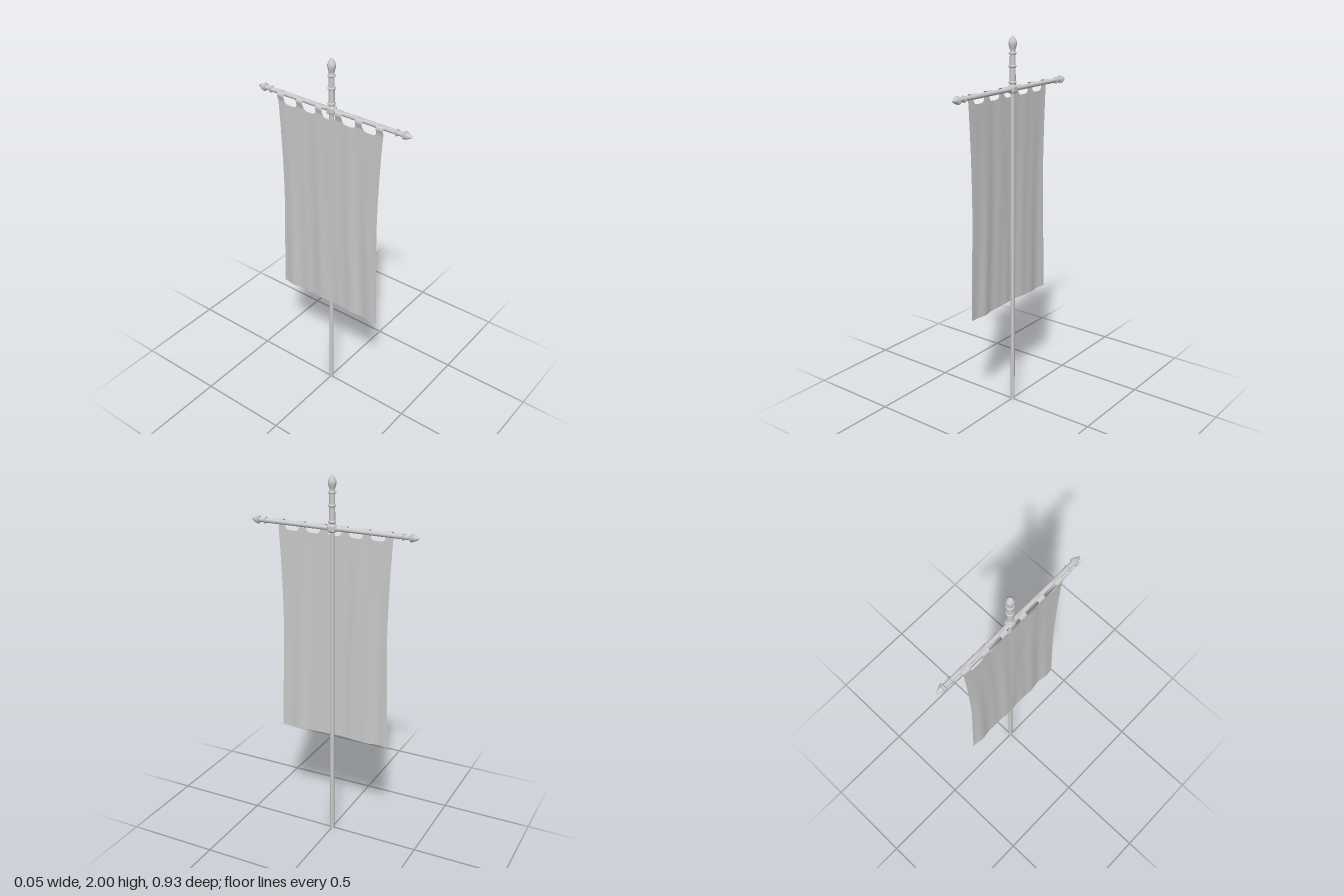
import * as THREE from 'three';
import { RoundedBoxGeometry } from 'three/addons/geometries/RoundedBoxGeometry.js';

const POLE_X = 0.003, BAR_Y = 1.735, TABS = 6, TAB_STEP = 0.119, TAB_HALF = 0.02;
const mat = new THREE.MeshStandardMaterial({ color: 0xcccccc });
const clothMat = new THREE.MeshStandardMaterial({ color: 0xcccccc, side: THREE.DoubleSide });
const tabZ = (i) => (i - (TABS - 1) / 2) * TAB_STEP;

function add(parent, name, geometry, material = mat) {
  const mesh = new THREE.Mesh(geometry, material);
  mesh.name = name;
  parent.add(mesh);
  return mesh;
}

// Turned part from [radius, height] pairs
function lathe(points, sides = 20) {
  return new THREE.LatheGeometry(points.map(([r, y]) => new THREE.Vector2(r, y)), sides);
}

// Rounded collar around the y axis
function collar(parent, name, y, r, h) {
  const b = h * 0.3;
  add(parent, name, lathe([[0.008, -h / 2], [r - b, -h / 2], [r, -h / 2 + b], [r, h / 2 - b], [r - b, h / 2], [0.008, h / 2]])).position.y = y;
}

// Cloth depth: hanging folds that grow downward, bulging behind the pole
function clothX(z, y) {
  const drop = THREE.MathUtils.clamp((1.7 - y) / 1.1, 0, 1);
  const folds = Math.sin(z * 34 + 0.6) * 0.6 + Math.sin(z * 61 + y * 2) * 0.4;
  const bulge = Math.exp(-((z / 0.03) ** 2)) * 0.006 * drop;
  return Math.max(-0.026, -0.019 + folds * 0.005 * (0.2 + 0.8 * drop) - bulge);
}

// Top edge of the cloth: high at each tab, scooped between tabs
function topEdge(z) {
  let d = 1;
  for (let i = 0; i < TABS; i++) d = Math.min(d, Math.abs(z - tabZ(i)));
  const t = THREE.MathUtils.clamp((d - TAB_HALF) / (TAB_STEP / 2 - TAB_HALF), 0, 1);
  return 1.692 + 0.023 * (1 - Math.sqrt(1 - (1 - t) ** 4));
}

function clothGeometry() {
  const g = new THREE.PlaneGeometry(1, 1, 124, 48);
  const p = g.attributes.position;
  for (let i = 0; i < p.count; i++) {
    const u = p.getX(i), v = p.getY(i) + 0.5;
    const z0 = u * 2 * (2.5 * TAB_STEP + TAB_HALF);
    const bottom = 0.58 + 0.003 * Math.cos(z0 * 14);
    const y = THREE.MathUtils.lerp(bottom, topEdge(z0), v);
    const waist = 1 - 0.045 * Math.sin(Math.PI * Math.pow(v, 1.3)) ;
    const z = z0 * waist * 0.985 + z0 * 0.015 * Math.abs(2 * v - 1);
    p.setXYZ(i, clothX(z0, y), y, z);
  }
  g.computeVertexNormals();
  return g;
}

// Strap rising behind the bar and folding over onto its top
function tabGeometry(zc) {
  const path = new THREE.CatmullRomCurve3([
    [clothX(zc, 1.7), 1.7], [-0.022, 1.715], [-0.026, 1.732], [-0.021, 1.745], [-0.009, 1.749], [0.003, 1.747],
  ].map(([x, y]) => new THREE.Vector3(x, y, 0)));
  const g = new THREE.PlaneGeometry(TAB_HALF * 2, 1, 4, 16);
  const p = g.attributes.position;
  for (let i = 0; i < p.count; i++) {
    const q = path.getPoint(p.getY(i) + 0.5);
    p.setXYZ(i, q.x, q.y, zc + p.getX(i));
  }
  g.computeVertexNormals();
  return g;
}

export function createModel() {
  const model = new THREE.Group();
  model.name = 'hangingBanner';

  // Upright pole with its turned top
  const upright = new THREE.Group();
  upright.name = 'upright';
  upright.position.x = POLE_X;
  model.add(upright);
  add(upright, 'pole', new THREE.CylinderGeometry(0.012, 0.012, 1.75, 20)).position.y = 0.875;
  add(upright, 'topShaft', new THREE.CylinderGeometry(0.014, 0.016, 0.19, 20)).position.y = 1.835;
  collar(upright, 'lowerCollar', 1.768, 0.02, 0.014);
  collar(upright, 'middleCollar', 1.848, 0.02, 0.014);
  collar(upright, 'upperCollar', 1.912, 0.02, 0.012);
  add(upright, 'topFinial', lathe([
    [0.013, 1.925], [0.017, 1.94], [0.0205, 1.953], [0.021, 1.963], [0.018, 1.974], [0.009, 1.99], [0, 2],
  ]));
  add(upright, 'socket', new RoundedBoxGeometry(0.042, 0.042, 0.044, 4, 0.012)).position.y = BAR_Y;

  // Crossbar, with matching finials at both ends
  const crossbar = new THREE.Group();
  crossbar.name = 'crossbar';
  crossbar.position.set(POLE_X, BAR_Y, 0);
  model.add(crossbar);
  add(crossbar, 'bar', new THREE.CylinderGeometry(0.012, 0.012, 0.84, 20)).rotation.x = Math.PI / 2;
  for (const side of [1, -1]) {
    const end = new THREE.Group();
    end.name = side > 0 ? 'frontBarEnd' : 'backBarEnd';
    end.rotation.x = side * Math.PI / 2;
    crossbar.add(end);
    collar(end, 'thinRing', 0.378, 0.018, 0.007);
    collar(end, 'endCollar', 0.42, 0.021, 0.012);
    add(end, 'spike', lathe([[0.013, 0.424], [0.0175, 0.43], [0.0165, 0.434], [0.008, 0.45], [0, 0.464]]));
  }

  // Cloth hung by tabs
  const banner = new THREE.Group();
  banner.name = 'banner';
  model.add(banner);
  add(banner, 'cloth', clothGeometry(), clothMat);
  for (let i = 0; i < TABS; i++) add(banner, 'tab', tabGeometry(tabZ(i)), clothMat);

  return model;
}
